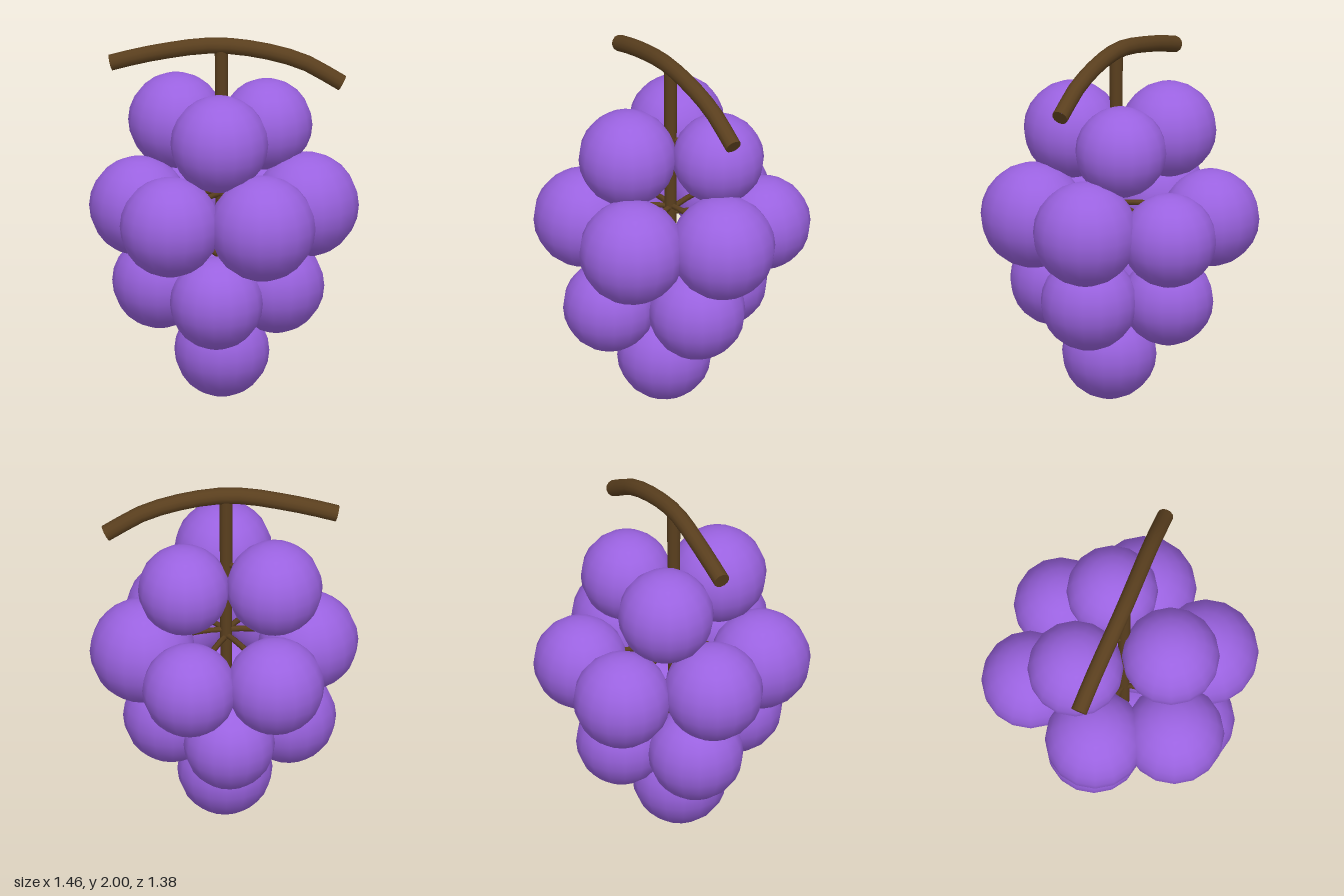
import * as THREE from 'three';

const purple = new THREE.MeshStandardMaterial({ color: 0x9a62e0 });
const brown = new THREE.MeshStandardMaterial({ color: 0x5a3f1e });
const V = (x, y, z) => new THREE.Vector3(x, y, z);

// Grapes by tier: x, y, z, radius
const tiers = {
  top: [[-0.01, 1.48, 0.29, 0.265], [-0.27, 1.48, -0.16, 0.26], [0.22, 1.47, -0.145, 0.248]],
  middle: [
    [-0.27, 1.045, 0.415, 0.272], [0.23, 1.04, 0.395, 0.287],
    [-0.46, 1.05, 0.03, 0.27], [0.44, 1.05, -0.05, 0.285],
    [-0.265, 1.02, -0.425, 0.265], [0.2, 1.01, -0.435, 0.256],
  ],
  lower: [
    [-0.02, 0.615, 0.395, 0.252], [-0.35, 0.615, -0.02, 0.258],
    [0.28, 0.615, 0.02, 0.262], [-0.02, 0.6, -0.3, 0.247],
  ],
  bottom: [[-0.01, 0.258, 0.06, 0.257]],
};

// Rise of each twig above its grape: at the stem and at the bend
const twigRise = { top: [0.05, 0.08], middle: [0.08, 0.1], lower: [0.15, 0.3] };

function add(parent, name, geometry, material) {
  const mesh = new THREE.Mesh(geometry, material);
  mesh.name = name;
  parent.add(mesh);
  return mesh;
}

export function createModel() {
  const model = new THREE.Group();
  model.name = 'grapeBunch';
  const stemX = -0.015, stemZ = 0.02;

  // Arched branch across the top, with flat cut ends
  const branch = new THREE.Group();
  branch.name = 'branch';
  model.add(branch);
  const path = new THREE.CatmullRomCurve3([
    V(-0.615, 1.843, 0), V(-0.4, 1.9, 0.005), V(-0.015, 1.955, 0.018),
    V(0.4, 1.878, 0.005), V(0.637, 1.748, -0.005),
  ]);
  add(branch, 'branchWood', new THREE.TubeGeometry(path, 12, 0.045, 12), brown);
  for (const t of [0, 1]) {
    const cap = add(branch, 'branchCutEnd', new THREE.CircleGeometry(0.045, 12), brown);
    const end = path.getPointAt(t);
    cap.position.copy(end);
    cap.lookAt(end.clone().addScaledVector(path.getTangentAt(t), t ? 1 : -1));
  }

  // Central stem from the branch to the lowest grape
  const stem = add(model, 'stem', new THREE.CylinderGeometry(0.036, 0.028, 1.6, 12), brown);
  stem.position.set(stemX, 1.14, stemZ);

  // Grapes, each hung from the stem by a thin twig
  for (const [tier, grapes] of Object.entries(tiers)) {
    const group = new THREE.Group();
    group.name = tier + 'Grapes';
    model.add(group);
    for (const [x, y, z, r] of grapes) {
      add(group, 'grape', new THREE.SphereGeometry(r, 16, 12), purple).position.set(x, y, z);
      if (!twigRise[tier]) continue;
      const [start, bend] = twigRise[tier];
      const twig = new THREE.QuadraticBezierCurve3(
        V(stemX, y + start, stemZ), V((stemX + x) / 2, y + bend, (stemZ + z) / 2), V(x, y, z));
      add(group, 'twig', new THREE.TubeGeometry(twig, 6, 0.016, 6), brown);
    }
  }
  return model;
}
